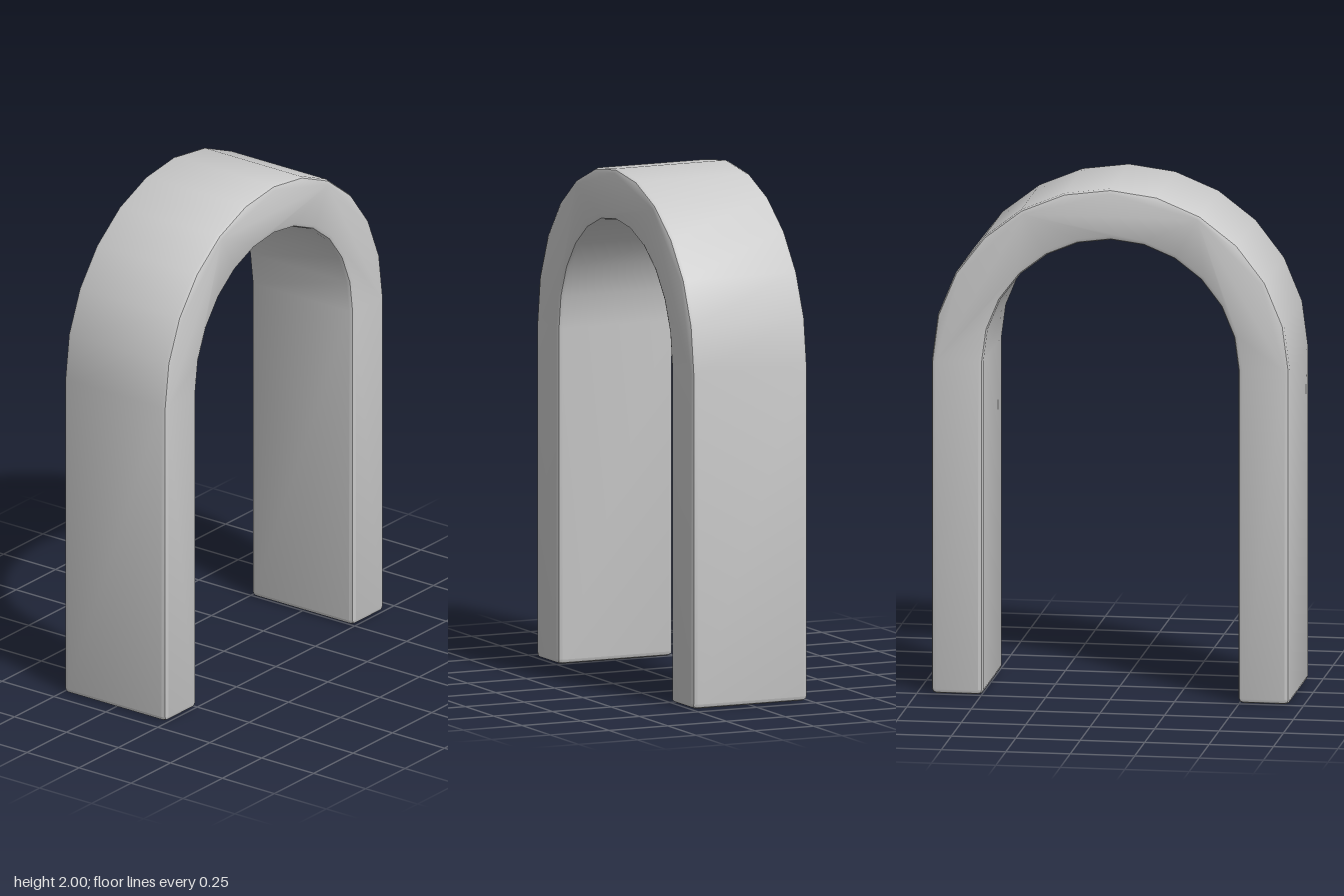
import * as THREE from 'three';
import { toCreasedNormals } from 'three/addons/utils/BufferGeometryUtils.js';

const OUTER = 0.695, INNER = 0.495, SPRING = 1.305, WIDTH = 0.49;
const BEVEL = 0.018, ARC_STEPS = 12;

// Points along an arc, both ends included
function arc(cx, cy, r, from, to, steps) {
  return Array.from({ length: steps + 1 }, (_, i) => {
    const a = from + ((to - from) * i) / steps;
    return new THREE.Vector2(cx + r * Math.cos(a), cy + r * Math.sin(a));
  });
}

// Softened bottom corners of one leg, from its left edge to its right edge
function foot(left, right) {
  const r = BEVEL, PI = Math.PI;
  return [
    ...arc(left + r, r, r, PI, PI * 1.5, 2),
    ...arc(right - r, r, r, PI * 1.5, PI * 2, 2),
  ];
}

export function createModel() {
  const group = new THREE.Group();
  group.name = 'arch';

  // Horseshoe outline: over the top, down one leg, under the vault, down the other
  const outline = new THREE.Shape([
    ...arc(0, SPRING, OUTER, 0, Math.PI, ARC_STEPS),
    ...foot(-OUTER, -INNER),
    ...arc(0, SPRING, INNER, Math.PI, 0, ARC_STEPS),
    ...foot(INNER, OUTER),
  ]);

  // Extruded across x with softened long edges
  const depth = WIDTH - 2 * BEVEL;
  const geometry = new THREE.ExtrudeGeometry(outline, {
    depth,
    bevelEnabled: true,
    bevelSize: BEVEL,
    bevelThickness: BEVEL,
    bevelOffset: -BEVEL,
    bevelSegments: 2,
  });
  geometry.translate(0, 0, -depth / 2);
  geometry.rotateY(Math.PI / 2);

  const body = new THREE.Mesh(
    toCreasedNormals(geometry, 0.5),
    new THREE.MeshStandardMaterial({ color: 0xcccccc })
  );
  body.name = 'archBody';
  group.add(body);
  return group;
}
